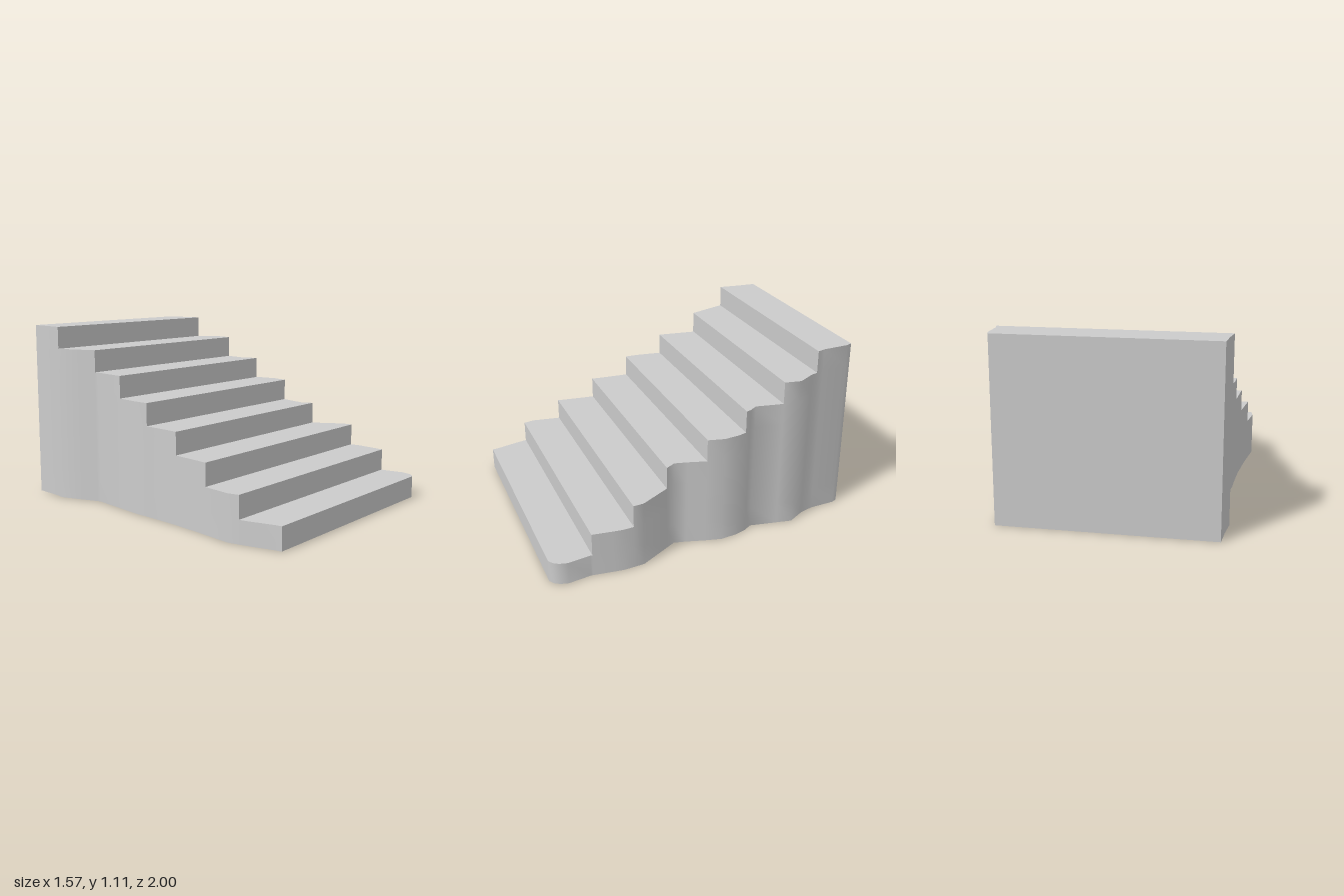
import * as THREE from 'three';
import { toCreasedNormals } from 'three/addons/utils/BufferGeometryUtils.js';

const STEPS = 8, RISE = 1.11 / STEPS, DEPTH = 2 / STEPS;

// Wavy plan outlines as [z, x], from back to front
const LEFT = [[-1, 0.575], [-0.965, 0.59], [-0.8, 0.598], [-0.705, 0.627], [-0.6, 0.687], [-0.33, 0.638],
  [-0.28, 0.67], [-0.2, 0.695], [-0.1, 0.706], [0, 0.683], [0.115, 0.65], [0.19, 0.633], [0.435, 0.77],
  [0.56, 0.781], [0.63, 0.775], [0.76, 0.76], [0.9, 0.782], [0.95, 0.77], [0.98, 0.75], [1, 0.72]];
const RIGHT = [[-1, -0.712], [-0.87, -0.722], [-0.75, -0.738], [-0.615, -0.695], [-0.485, -0.652],
  [-0.25, -0.685], [-0.1, -0.706], [0, -0.71], [0.19, -0.722], [0.43, -0.75], [0.68, -0.787],
  [0.8, -0.765], [0.96, -0.727], [1, -0.722]];

// Interpolated x of an outline at depth z
function xAt(line, z) {
  let i = 1;
  while (i < line.length - 1 && line[i][0] < z) i++;
  const [z0, x0] = line[i - 1], [z1, x1] = line[i];
  return x0 + (x1 - x0) * (z - z0) / (z1 - z0);
}

// Outline points between two depths, both ends included
function section(line, z0, z1) {
  const inner = line.filter(([z]) => z > z0 + 1e-4 && z < z1 - 1e-4);
  return [[z0, xAt(line, z0)], ...inner, [z1, xAt(line, z1)]];
}

function quad(out, a, b, c, d) {
  out.push(...a, ...b, ...c, ...a, ...c, ...d);
}

function toGeometry(positions) {
  const g = new THREE.BufferGeometry();
  g.setAttribute('position', new THREE.Float32BufferAttribute(positions, 3));
  g.computeVertexNormals();
  return g;
}

// Upright panel across the stair at depth z
function panel(z, y0, y1, facingBack) {
  const l = xAt(LEFT, z), r = xAt(RIGHT, z), out = [];
  const corners = [[r, y0, z], [l, y0, z], [l, y1, z], [r, y1, z]];
  quad(out, ...(facingBack ? corners.reverse() : corners));
  return toGeometry(out);
}

// Stepped side wall; rows share their points so the waves shade smoothly
function sideWall(line, flip) {
  const out = [];
  for (let s = 0; s < STEPS; s++) {
    const front = 1 - s * DEPTH;
    const pts = section(line, front - DEPTH, front);
    for (let i = 0; i < pts.length - 1; i++) {
      const [z0, x0] = pts[i], [z1, x1] = pts[i + 1];
      for (let row = 0; row <= s; row++) {
        const y0 = row * RISE, y1 = y0 + RISE;
        const c = [[x0, y0, z0], [x0, y1, z0], [x1, y1, z1], [x1, y0, z1]];
        quad(out, ...(flip ? c.reverse() : c));
      }
    }
  }
  return toCreasedNormals(toGeometry(out), 1.0);
}

// Flat tread following both outlines
function tread(z0, z1, y) {
  const outline = [...section(RIGHT, z0, z1), ...section(LEFT, z0, z1).reverse()];
  const shape = new THREE.Shape(outline.map(([z, x]) => new THREE.Vector2(x, -z)));
  return new THREE.ShapeGeometry(shape).rotateX(-Math.PI / 2).translate(0, y, 0);
}

export function createModel() {
  const group = new THREE.Group();
  group.name = 'staircase';
  const material = new THREE.MeshStandardMaterial({ color: 0xcccccc, side: THREE.DoubleSide });
  const add = (name, geometry) => {
    const mesh = new THREE.Mesh(geometry, material);
    mesh.name = name;
    group.add(mesh);
  };

  // Steps
  for (let s = 0; s < STEPS; s++) {
    const front = 1 - s * DEPTH, top = (s + 1) * RISE;
    add(`riser${s + 1}`, panel(front, s * RISE, top, false));
    add(`tread${s + 1}`, tread(front - DEPTH, front, top));
  }

  // Enclosing walls; the underside stays open
  add('leftWall', sideWall(LEFT, false));
  add('rightWall', sideWall(RIGHT, true));
  add('backWall', panel(-1, 0, STEPS * RISE, true));
  return group;
}
